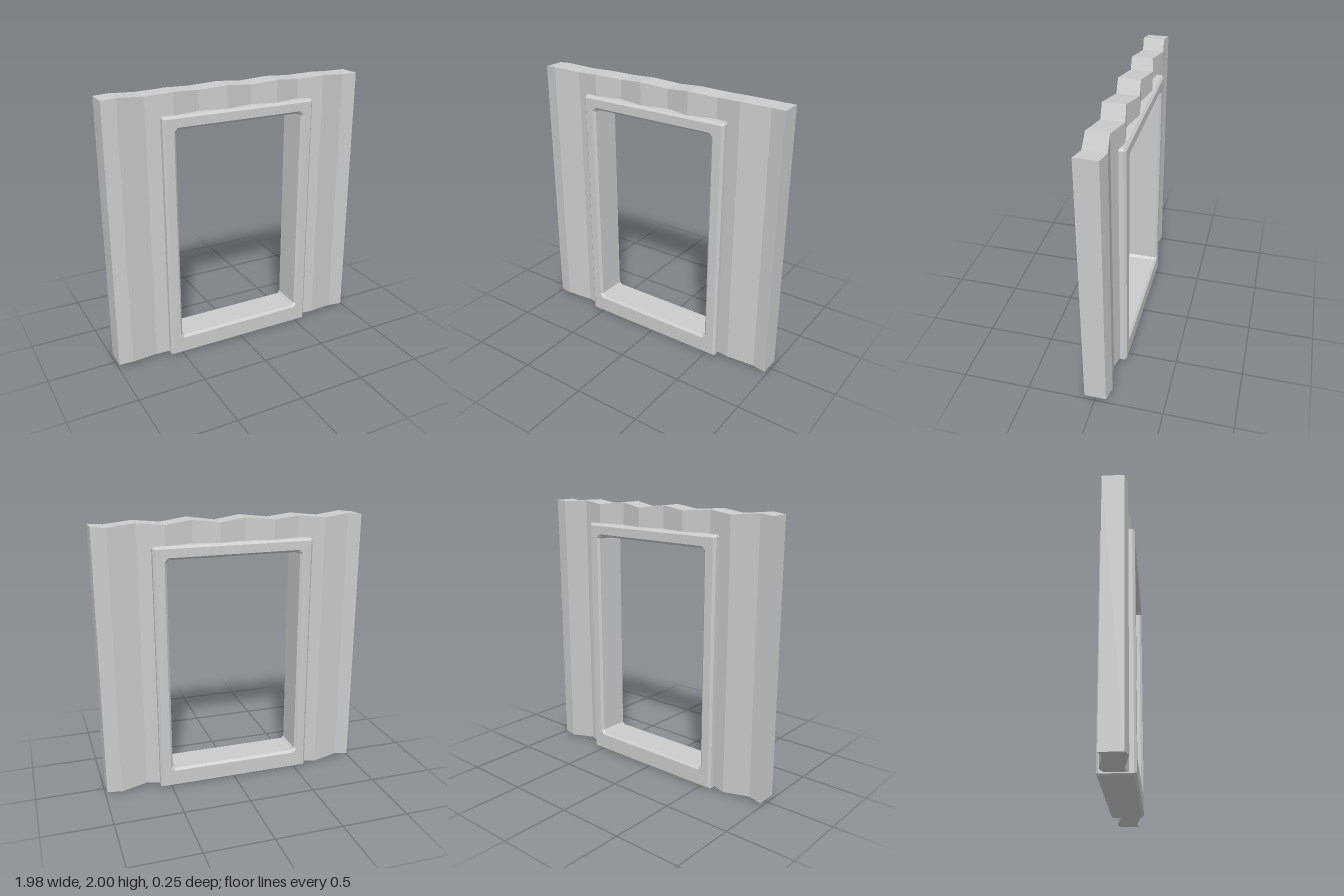
import * as THREE from 'three';

const material = new THREE.MeshStandardMaterial({ color: 0xcccccc, flatShading: true });

// Cross-sections of the corrugated wall: x, front z, back z, top y, bottom y.
// The bottom steps up and down behind the frame to leave the opening.
const SECTIONS = [
  [-0.99, 0.075, -0.08, 1.985, 0.02],
  [-0.89, 0.095, -0.065, 1.995, 0.03],
  [-0.69, 0.055, -0.1, 1.977, 0.01],
  [-0.54, 0.087, -0.069, 1.99, 0.025],
  [-0.54, 0.087, -0.069, 1.99, 1.8],
  [-0.5, 0.095, -0.06, 1.995, 1.8],
  [-0.3, 0.055, -0.105, 1.98, 1.8],
  [-0.1, 0.095, -0.065, 2.0, 1.8],
  [0.1, 0.055, -0.105, 1.977, 1.8],
  [0.29, 0.1, -0.06, 2.0, 1.8],
  [0.49, 0.055, -0.105, 1.98, 1.8],
  [0.54, 0.066, -0.093, 1.984, 1.8],
  [0.54, 0.066, -0.093, 1.984, 0.02],
  [0.68, 0.095, -0.06, 1.995, 0.03],
  [0.88, 0.055, -0.1, 1.98, 0.01],
  [0.985, 0.08, -0.08, 1.985, 0.015],
];

function wallGeometry() {
  const positions = [];
  const index = [];
  for (const [x, front, back, top, bottom] of SECTIONS) {
    positions.push(x, bottom, front, x, top, front, x, top, back, x, bottom, back);
  }
  const last = (SECTIONS.length - 1) * 4;
  for (let i = 0; i < last; i += 4) {
    for (let k = 0; k < 4; k++) {
      const n = (k + 1) % 4;
      index.push(i + k, i + 4 + k, i + 4 + n, i + k, i + 4 + n, i + n);
    }
  }
  // end caps
  index.push(0, 1, 2, 0, 2, 3);
  index.push(last, last + 2, last + 1, last, last + 3, last + 2);
  const indexed = new THREE.BufferGeometry();
  indexed.setAttribute('position', new THREE.Float32BufferAttribute(positions, 3));
  indexed.setIndex(index);
  const geometry = indexed.toNonIndexed();
  geometry.computeVertexNormals();
  return geometry;
}

// Rectangle with cut corners
function chamferedRect(x0, y0, x1, y1, c) {
  return [
    [x0 + c, y0], [x1 - c, y0], [x1, y0 + c], [x1, y1 - c],
    [x1 - c, y1], [x0 + c, y1], [x0, y1 - c], [x0, y0 + c],
  ].map(([x, y]) => new THREE.Vector2(x, y));
}

function frameGeometry() {
  const bevel = 0.017;
  const depth = 0.255;
  const shape = new THREE.Shape(chamferedRect(-0.592, 0, 0.584, 1.838, 0.012));
  shape.holes.push(new THREE.Path(chamferedRect(-0.498, 0.15, 0.488, 1.742, 0.018).reverse()));
  const geometry = new THREE.ExtrudeGeometry(shape, {
    depth: depth - 2 * bevel,
    bevelEnabled: true,
    bevelThickness: bevel,
    bevelSize: bevel,
    bevelOffset: -bevel,
    bevelSegments: 1,
  });
  geometry.translate(0, 0, -depth / 2 + bevel - 0.003);
  return geometry;
}

export function createModel() {
  const model = new THREE.Group();
  model.name = 'windowWall';

  const wall = new THREE.Mesh(wallGeometry(), material);
  wall.name = 'corrugatedWall';

  const frame = new THREE.Mesh(frameGeometry(), material);
  frame.name = 'windowFrame';

  model.add(wall, frame);
  return model;
}
